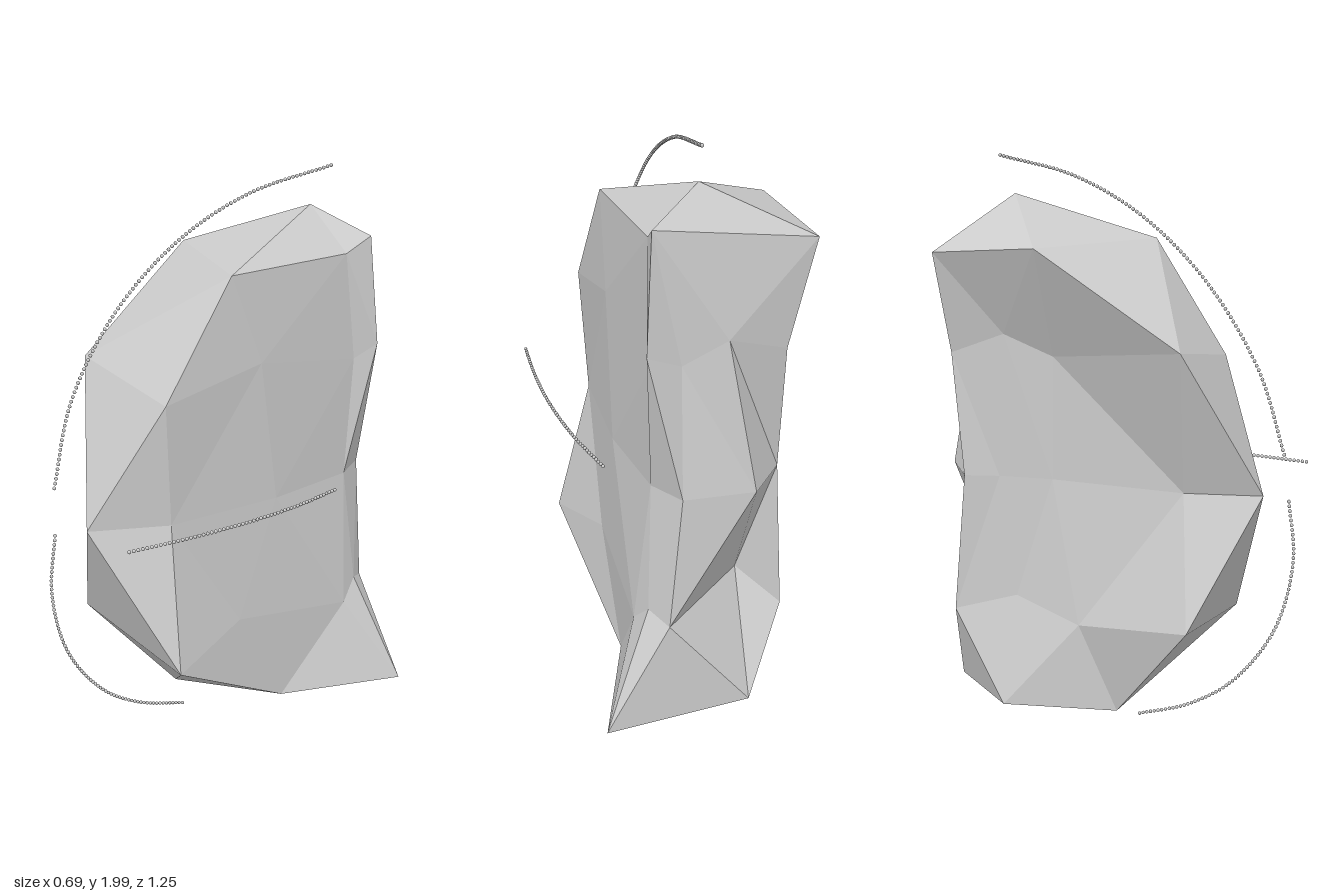
import * as THREE from 'three';
import { mergeGeometries } from 'three/addons/utils/BufferGeometryUtils.js';

// Faceted boulder: rings of a once-divided icosphere, pushed into an upright slab.
// Each ring runs from +x towards +z; entries are [x, y, z].
const top = [-0.01, 1.87, -0.43];
const bottom = [-0.01, 0.005, -0.43];
const crown = [[0.15, 1.73, -0.45], [0.14, 1.73, 0.03], [-0.34, 1.73, -0.15], [-0.35, 1.70, -0.53], [0.17, 1.78, -0.54]];
const upperMid = [[0.16, 1.43, -0.08], [-0.26, 1.43, 0.32], [-0.22, 1.43, -0.35], [-0.06, 1.43, -0.57], [0.195, 1.41, -0.57]];
const upper = [[0.155, 1.36, -0.5], [0.14, 1.36, 0.29], [-0.17, 1.36, -0.19], [-0.265, 1.36, -0.53], [0.08, 1.36, -0.55]];
const waist = [
  [0.165, -0.15], [0.12, 0.26], [-0.01, 0.5], [-0.105, 0.26], [-0.17, -0.2],
  [-0.22, -0.38], [-0.27, -0.49], [-0.14, -0.625], [0.09, -0.6], [0.15, -0.48],
].map(([x, z]) => [x, 0.94, z]);
const lower = [[0.16, 0.52, 0.0], [-0.26, 0.52, 0.35], [-0.22, 0.52, -0.32], [-0.18, 0.52, -0.39], [0.175, 0.52, -0.53]];
const lowerMid = [[0.2, 0.45, -0.46], [0.23, 0.45, 0.31], [-0.21, 0.45, -0.08], [-0.28, 0.45, -0.54], [0.13, 0.49, -0.605]];
const foot = [[0.16, 0.14, -0.2], [-0.16, 0.14, 0.04], [-0.32, 0.15, -0.32], [-0.15, 0.14, -0.61], [0.345, 0.14, -0.62]];

function rockGeometry() {
  const pos = [];
  const tri = (a, b, c) => pos.push(...a, ...b, ...c);
  for (let k = 0; k < 5; k++) {
    const n = (k + 1) % 5;
    const e0 = waist[(2 * k + 9) % 10], e1 = waist[2 * k], e2 = waist[2 * k + 1];
    // upper half
    tri(top, crown[n], crown[k]);
    tri(crown[n], upperMid[k], crown[k]);
    tri(crown[k], upperMid[k], upper[k]);
    tri(crown[n], upper[n], upperMid[k]);
    tri(upper[k], e1, e0);
    tri(upperMid[k], e2, e1);
    tri(upper[k], upperMid[k], e1);
    tri(upper[n], e2, upperMid[k]);
    // lower half
    tri(e2, lower[k], e1);
    tri(e1, lowerMid[k], e0);
    tri(e1, lower[k], lowerMid[k]);
    tri(e2, lowerMid[n], lower[k]);
    tri(lowerMid[k], lower[k], foot[k]);
    tri(lowerMid[n], foot[k], lower[k]);
    tri(lowerMid[n], foot[n], foot[k]);
    tri(foot[n], bottom, foot[k]);
  }
  const geo = new THREE.BufferGeometry();
  geo.setAttribute('position', new THREE.Float32BufferAttribute(pos, 3));
  geo.computeVertexNormals();
  return geo;
}

// A row of tiny beads evenly spaced along a smooth curve
function beadArc(points, spacing = 0.0155, radius = 0.006) {
  const curve = new THREE.CatmullRomCurve3(points.map((p) => new THREE.Vector3(...p)));
  const count = Math.round(curve.getLength() / spacing);
  const beads = curve.getSpacedPoints(count).map((p) =>
    new THREE.SphereGeometry(radius, 8, 6).translate(p.x, p.y, p.z));
  return mergeGeometries(beads);
}

export function createModel() {
  const group = new THREE.Group();
  const add = (name, geometry, flatShading = false) => {
    const material = new THREE.MeshStandardMaterial({ color: 0xcccccc, flatShading });
    const mesh = new THREE.Mesh(geometry, material);
    mesh.name = name;
    group.add(mesh);
  };

  add('rock', rockGeometry(), true);

  // Three bead arcs floating just off the rock
  add('upperBeadArc', beadArc([
    [-0.055, 1.1, 0.585], [-0.072, 1.36, 0.5], [-0.073, 1.61, 0.33],
    [-0.057, 1.805, 0.1], [-0.03, 1.93, -0.17], [0.01, 1.993, -0.5],
  ]));
  add('lowerBeadArc', beadArc([
    [-0.04, 0.945, 0.6], [-0.042, 0.75, 0.622], [-0.05, 0.51, 0.57],
    [-0.06, 0.3, 0.43], [-0.066, 0.18, 0.27], [-0.068, 0.1, 0.08],
  ]));
  add('sideBeadArc', beadArc([
    [0.257, 0.95, -0.335], [0.292, 0.96, -0.12], [0.306, 0.972, 0.12],
    [0.298, 0.982, 0.33], [0.276, 0.99, 0.535],
  ]));
  return group;
}
